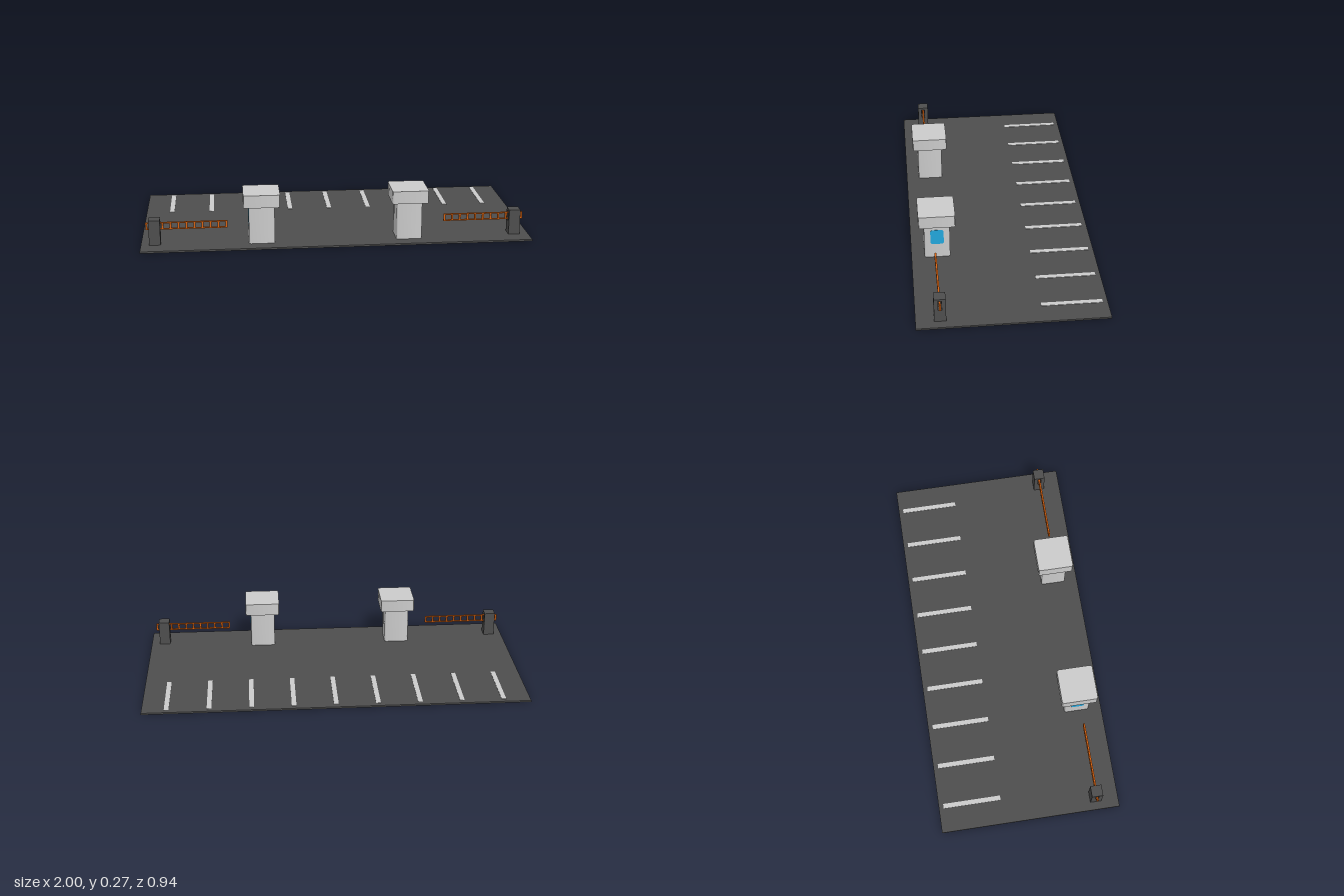
import * as THREE from 'three';
import { toCreasedNormals } from 'three/addons/utils/BufferGeometryUtils.js';

const material = (color) => new THREE.MeshStandardMaterial({ color });
const grey = material(0xcccccc);
const asphalt = material(0x4e4e4e);
const orange = material(0xd9620f);
const blue = material(0x22a6dc);

const GROUND_TOP = 0.009;

function add(parent, name, geometry, mat, x = 0, y = 0, z = 0) {
  const mesh = new THREE.Mesh(geometry, mat);
  mesh.name = name;
  mesh.position.set(x, y, z);
  parent.add(mesh);
  return mesh;
}

// Rectangle centred on the origin, usable as an outline or a hole
function rectangle(Type, w, h, cx = 0, cy = 0) {
  const path = new Type();
  path.moveTo(cx - w / 2, cy - h / 2);
  path.lineTo(cx + w / 2, cy - h / 2);
  path.lineTo(cx + w / 2, cy + h / 2);
  path.lineTo(cx - w / 2, cy + h / 2);
  path.closePath();
  return path;
}

function roundedRectangle(w, h, r) {
  const s = new THREE.Shape();
  s.absarc(w / 2 - r, h / 2 - r, r, 0, Math.PI / 2);
  s.absarc(-w / 2 + r, h / 2 - r, r, Math.PI / 2, Math.PI);
  s.absarc(-w / 2 + r, -h / 2 + r, r, Math.PI, Math.PI * 1.5);
  s.absarc(w / 2 - r, -h / 2 + r, r, Math.PI * 1.5, Math.PI * 2);
  s.closePath();
  return s;
}

function extrude(shape, depth) {
  const g = new THREE.ExtrudeGeometry(shape, { depth, bevelEnabled: false, curveSegments: 6 });
  return toCreasedNormals(g, Math.PI / 5);
}

// Upright block with rounded vertical corners, standing on y = 0
const roundedBlock = (w, d, h, r) =>
  extrude(roundedRectangle(w, d, r), h).rotateX(-Math.PI / 2);

// Ticket booth with its window facing +x
function createBooth() {
  const booth = new THREE.Group();
  booth.name = 'booth';
  add(booth, 'boothBody', roundedBlock(0.132, 0.132, 0.2, 0.012), grey, 0, GROUND_TOP);
  add(booth, 'boothRoof', roundedBlock(0.186, 0.188, 0.066, 0.012), grey, 0, 0.207);
  const pane = extrude(roundedRectangle(0.068, 0.085, 0.012), 0.004).rotateY(Math.PI / 2);
  add(booth, 'boothWindow', pane, blue, 0.0635, 0.1325);
  return booth;
}

// Barrier with its post at the origin and its arm reaching toward -x
function createBarrier() {
  const barrier = new THREE.Group();
  barrier.name = 'barrier';

  // Post with a slot right through it for the arm
  const postHeight = 0.14 - GROUND_TOP;
  const postShape = rectangle(THREE.Shape, 0.058, postHeight);
  const postCentre = GROUND_TOP + postHeight / 2;
  postShape.holes.push(rectangle(THREE.Path, 0.018, 0.054, 0, 0.102 - postCentre));
  const post = extrude(postShape, 0.058).translate(0, 0, -0.029).rotateY(Math.PI / 2);
  add(barrier, 'barrierPost', post, asphalt, 0, postCentre);

  // Open ladder-like arm
  const length = 0.414, cells = 10, bar = 0.009;
  const pitch = (length - bar) / cells;
  const armShape = rectangle(THREE.Shape, length, 0.038);
  for (let i = 0; i < cells; i++) {
    const cx = -length / 2 + bar / 2 + pitch * (i + 0.5);
    armShape.holes.push(rectangle(THREE.Path, pitch - bar, 0.027, cx, 0));
  }
  const arm = extrude(armShape, 0.009).translate(0, 0, -0.0045);
  add(barrier, 'barrierArm', arm, orange, 0.045 - length / 2, 0.103);
  return barrier;
}

export function createModel() {
  const model = new THREE.Group();
  model.name = 'parkingLot';

  add(model, 'ground', new THREE.BoxGeometry(2, GROUND_TOP, 0.94), asphalt, 0, GROUND_TOP / 2);

  // Bay markings along the back
  const line = new THREE.BoxGeometry(0.024, 0.003, 0.302);
  for (let i = -4; i <= 4; i++) {
    add(model, 'bayLine', line, grey, 0.006 + i * 0.217, GROUND_TOP + 0.0005, -0.294);
  }

  // A booth and a barrier for each lane, turned to face outward
  for (const side of [1, -1]) {
    const booth = createBooth();
    booth.position.set(side * 0.378 - 0.008, 0, 0.336);
    const barrier = createBarrier();
    barrier.position.set(side * 0.927 - 0.002, 0, 0.351);
    for (const part of [booth, barrier]) {
      part.rotation.y = side > 0 ? 0 : Math.PI;
      model.add(part);
    }
  }
  return model;
}
